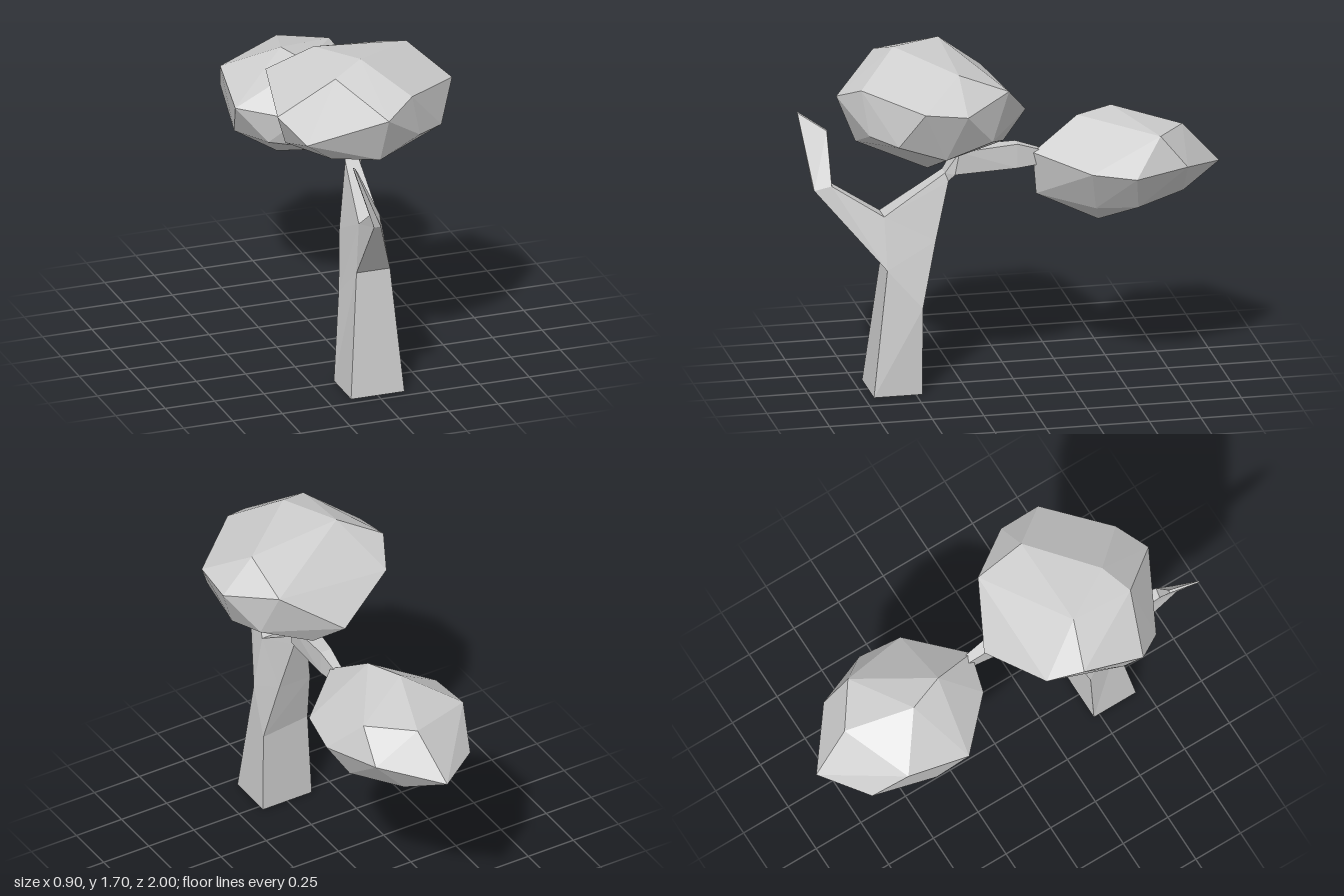
import * as THREE from 'three';
import { ConvexGeometry } from 'three/addons/geometries/ConvexGeometry.js';

const material = new THREE.MeshStandardMaterial({ color: 0xcccccc, flatShading: true });

function named(geometry, name) {
  const mesh = new THREE.Mesh(geometry, material);
  mesh.name = name;
  return mesh;
}

// Skin a limb through four-cornered sections: front left, front right, back right, back left
function limb(sections, name) {
  const pos = [];
  const quad = (a, b, c, d) => pos.push(...a, ...b, ...c, ...a, ...c, ...d);
  for (let s = 0; s < sections.length - 1; s++) {
    for (let i = 0; i < 4; i++) {
      const j = (i + 1) % 4;
      quad(sections[s][i], sections[s][j], sections[s + 1][j], sections[s + 1][i]);
    }
  }
  const first = sections[0], last = sections[sections.length - 1];
  quad(first[0], first[3], first[2], first[1]);
  quad(...last);
  const geometry = new THREE.BufferGeometry();
  geometry.setAttribute('position', new THREE.Float32BufferAttribute(pos, 3));
  geometry.computeVertexNormals();
  return named(geometry, name);
}

// Faceted leaf mass wrapped round a few corner points
function crown(points, name) {
  return named(new ConvexGeometry(points.map(p => new THREE.Vector3(...p))), name);
}

export function createModel() {
  const tree = new THREE.Group();
  tree.name = 'tree';

  // Shared sections where the trunk forks
  const base = [[-0.135, 0, 0.705], [0.135, 0, 0.705], [0.135, 0, 0.47], [-0.135, 0, 0.47]];
  const neck = [[-0.08, 0.615, 0.63], [0.09, 0.615, 0.63], [0.135, 0.43, 0.467], [-0.11, 0.46, 0.467]];
  const fork = [[-0.07, 0.87, 0.635], [0.04, 0.87, 0.635], [0.09, 0.75, 0.395], [-0.08, 0.75, 0.395]];

  // Trunk bending back into the long rear branch
  tree.add(limb([
    base, neck, fork,
    [[-0.03, 1.07, 0.34], [0.04, 1.07, 0.34], [0.05, 1.03, 0.325], [-0.02, 1.03, 0.325]],
    [[-0.01, 1.185, 0.28], [0.09, 1.185, 0.28], [0.08, 1.07, 0.3], [0, 1.07, 0.3]],
    [[0.04, 1.21, 0], [0.1, 1.21, 0], [0.1, 1.09, 0], [0.04, 1.09, 0]],
    [[0.05, 1.17, -0.12], [0.09, 1.17, -0.12], [0.09, 1.1, -0.12], [0.05, 1.1, -0.12]],
  ], 'trunk'));

  // Bare front branch ending in a broken point
  tree.add(limb([
    [neck[0], neck[1], fork[1], fork[0]],
    [[-0.11, 0.985, 0.95], [-0.075, 0.985, 0.95], [-0.05, 1.01, 0.87], [-0.1, 1.01, 0.86]],
    [[-0.235, 1.335, 1], [-0.225, 1.33, 1], [-0.165, 1.25, 0.87], [-0.18, 1.25, 0.865]],
  ], 'frontBranch'));

  // Upper leaves
  tree.add(crown([
    [0, 1.35, -0.06], [0.28, 1.54, 0.08], [0.45, 1.48, 0.315], [0.445, 1.505, 0.52],
    [0.35, 1.32, 0.63], [0.2, 1.335, 0.74], [0, 1.48, 0.86], [-0.35, 1.335, 0.685],
    [-0.45, 1.445, 0.55], [-0.4, 1.565, 0.25], [-0.32, 1.48, 0.09], [-0.185, 1.68, 0.325],
    [0.285, 1.64, 0.325], [-0.04, 1.695, 0.575], [-0.19, 1.64, 0.64], [0.15, 1.55, 0.77],
    [0.35, 1.24, 0.4], [0.105, 1.125, 0.44], [-0.01, 1.245, 0.765], [-0.215, 1.235, 0.65],
    [-0.385, 1.275, 0.48], [0.1, 1.235, 0.07], [0.33, 1.31, 0.17], [-0.22, 1.2, 0.25],
  ], 'upperLeaves'));

  // Rear leaves
  tree.add(crown([
    [0, 1.025, -1], [0.27, 1.095, -0.79], [0.38, 1.085, -0.52], [0.35, 1.115, -0.31],
    [0.09, 1.16, -0.075], [-0.09, 1.1, -0.12], [-0.33, 1.105, -0.35], [-0.29, 1.19, -0.665],
    [-0.23, 1.02, -0.83], [0.05, 1.24, -0.81], [0.26, 1.255, -0.66], [0.02, 1.31, -0.305],
    [-0.05, 1.325, -0.485], [0.27, 0.91, -0.55], [0.24, 0.91, -0.35], [0.105, 0.81, -0.39],
    [-0.1, 0.82, -0.71], [0.05, 0.94, -0.1], [-0.28, 0.92, -0.5], [-0.1, 0.83, -0.4],
    [0.12, 0.93, -0.8], [-0.2, 0.95, -0.25],
  ], 'rearLeaves'));

  return tree;
}
